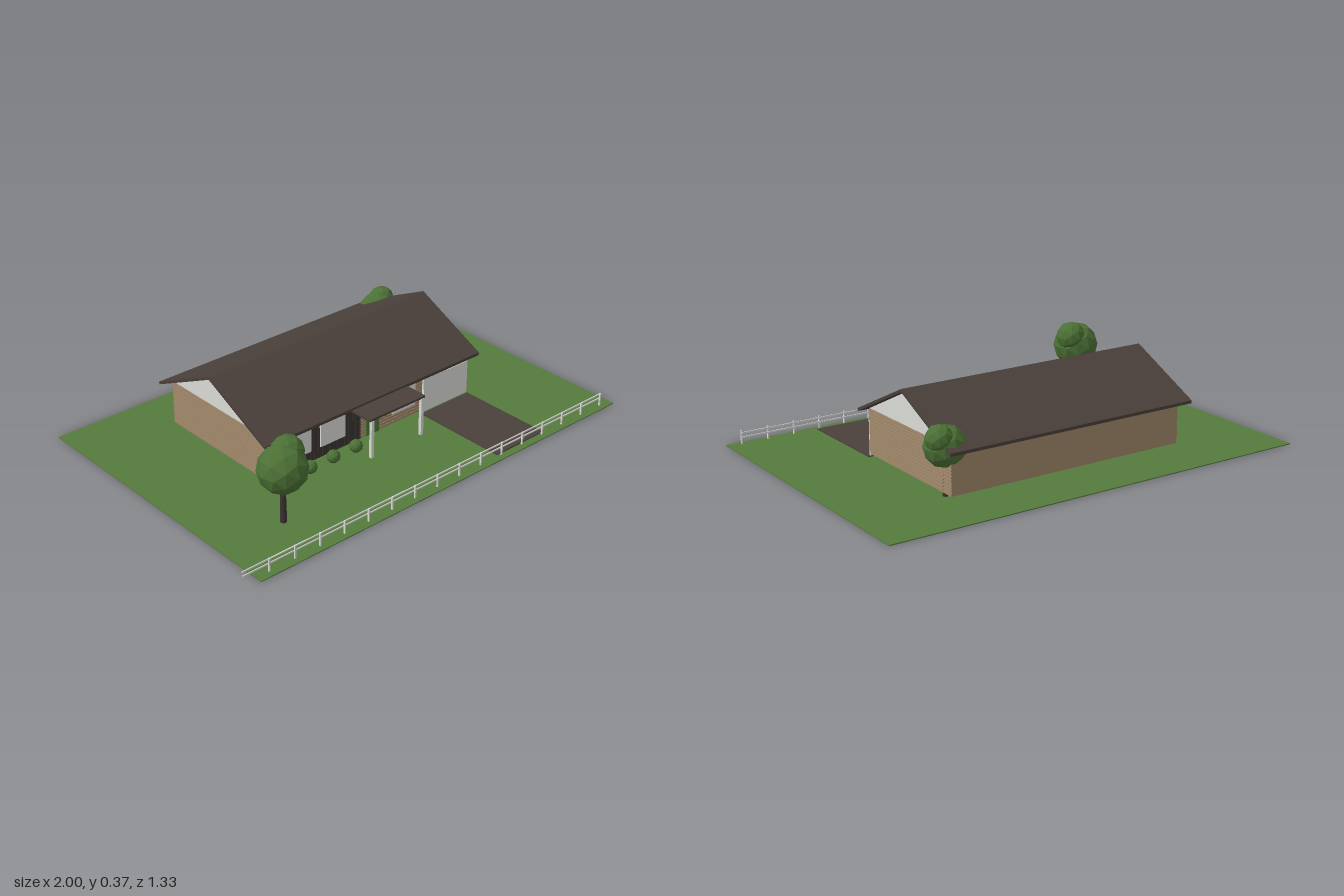
import * as THREE from 'three';

const mat = (name, color) => {
  const m = new THREE.MeshStandardMaterial({ color });
  m.name = name;
  return m;
};

export function createModel() {
  const root = new THREE.Group();
  root.name = 'house';
  const grass = mat('grass', 0x557a3c);
  const leaf = mat('leaf', 0x4b7035);
  leaf.flatShading = true;
  const doorGreen = mat('doorGreen', 0x4a7a36);
  const tan = mat('tanSiding', 0xa0886a);
  const roofBrown = mat('roofBrown', 0x4a403b);
  const dark = mat('darkTimber', 0x3a3430);
  const pale = mat('paleTrim', 0xdadbd7);

  const add = (name, geo, m, x = 0, y = 0, z = 0, parent = root) => {
    const mesh = new THREE.Mesh(geo, m);
    mesh.name = name;
    mesh.position.set(x, y, z);
    parent.add(mesh);
    return mesh;
  };
  // Box given by its limits on each axis
  const box = (name, m, x0, x1, y0, y1, z0, z1, parent = root) =>
    add(name, new THREE.BoxGeometry(x1 - x0, y1 - y0, z1 - z0), m,
      (x0 + x1) / 2, (y0 + y1) / 2, (z0 + z1) / 2, parent);
  const group = (name) => {
    const g = new THREE.Group();
    g.name = name;
    root.add(g);
    return g;
  };
  // Outline in (z, y), extruded along x
  const extrudeX = (name, m, points, x0, x1) => {
    const shape = new THREE.Shape(points.map(([z, y]) => new THREE.Vector2(-z, y)));
    const geo = new THREE.ExtrudeGeometry(shape, { depth: x1 - x0, bevelEnabled: false });
    geo.rotateY(Math.PI / 2);
    return add(name, geo, m, x0, 0, 0);
  };

  // Plot and driveway
  box('lawn', grass, -0.94, 1, 0, 0.004, -0.665, 0.665);
  box('driveway', roofBrown, 0.315, 0.59, 0.004, 0.008, 0.19, 0.63);

  // Walls
  const X0 = -0.52, X1 = 0.583, Z0 = -0.425, Z1 = 0.183, RIDGE = -0.121;
  box('walls', tan, X0, X1, 0.02, 0.214, Z0, Z1);
  extrudeX('gables', pale, [[Z0, 0.214], [Z1, 0.214], [RIDGE, 0.361]], X0, X1);

  // Horizontal lap boards on both ends and the right part of the front
  const siding = group('siding');
  const boards = 14, pitch = 0.194 / boards;
  for (let i = 0; i < boards; i++) {
    const y = 0.02 + i * pitch, top = y + pitch * 0.8;
    box('endBoard', tan, X1, X1 + 0.003, y, top, Z0, Z1, siding);
    box('endBoard', tan, X0 - 0.003, X0, y, top, Z0, Z1, siding);
    box('frontBoard', tan, -0.03, X1, y, top, Z1, Z1 + 0.002, siding);
  }

  // Dark vertical cladding on the left part of the front
  const cladding = group('cladding');
  box('claddingPanel', dark, X0, -0.03, 0.02, 0.185, Z1, 0.187, cladding);
  for (let i = 0; i <= 24; i++) {
    const x = X0 + 0.003 + i * 0.0201;
    box('batten', dark, x - 0.003, x + 0.003, 0.02, 0.185, 0.187, 0.189, cladding);
  }

  // Openings
  for (const x of [-0.365, -0.185, 0.208, 0.387]) {
    box('window', pale, x - 0.065, x + 0.065, 0.07, 0.176, 0.186, 0.194);
  }
  box('frontDoor', doorGreen, 0, 0.07, 0.02, 0.165, 0.184, 0.19);
  box('garageDoor', pale, 0.32, 0.585, 0.012, 0.166, 0.184, 0.19);

  // Main roof slopes, meeting at the ridge
  const T = 0.013;
  for (const [name, eave] of [['frontRoof', 0.225], ['backRoof', -0.467]]) {
    extrudeX(name, roofBrown, [
      [RIDGE, 0.374], [eave, 0.209], [eave, 0.209 - T], [RIDGE, 0.374 - T],
    ], -0.56, 0.615);
  }

  // Porch
  box('porchRoof', roofBrown, -0.11, 0.195, 0.19, 0.2, 0.183, 0.329);
  for (const x of [-0.095, 0.18]) {
    box('porchPost', pale, x - 0.007, x + 0.007, 0.02, 0.19, 0.318, 0.332);
  }

  // Trees: trunk, large crown and a small offset crown
  const ball = (name, r, x, y, z, parent) =>
    add(name, new THREE.IcosahedronGeometry(r, 1), leaf, x, y, z, parent);
  const tree = (x, z, s) => {
    const g = group('tree');
    add('trunk', new THREE.CylinderGeometry(0.011 * s, 0.014 * s, 0.17 * s, 8), dark, 0, 0.085 * s, 0, g);
    ball('crown', 0.101 * s, 0, 0.24 * s, 0, g);
    ball('smallCrown', 0.067 * s, 0.043 * s, 0.288 * s, -0.022 * s, g);
    g.position.set(x, 0, z);
  };
  tree(-0.638, 0.425, 1);
  tree(0.574, -0.365, 0.85);

  // Shrubs under the front windows
  for (let i = 0; i < 4; i++) ball('shrub', 0.029, -0.46 + i * 0.1215, 0.032, 0.232, root);

  // Front fence
  const fence = group('fence');
  for (const y of [0.035, 0.054]) box('fenceRail', pale, -1, 0.943, y - 0.003, y + 0.003, 0.63, 0.634, fence);
  for (let i = 0; i < 16; i++) {
    const x = -0.88 + i * 0.1213;
    box('fencePost', pale, x - 0.003, x + 0.003, 0, 0.062, 0.634, 0.641, fence);
  }
  return root;
}
